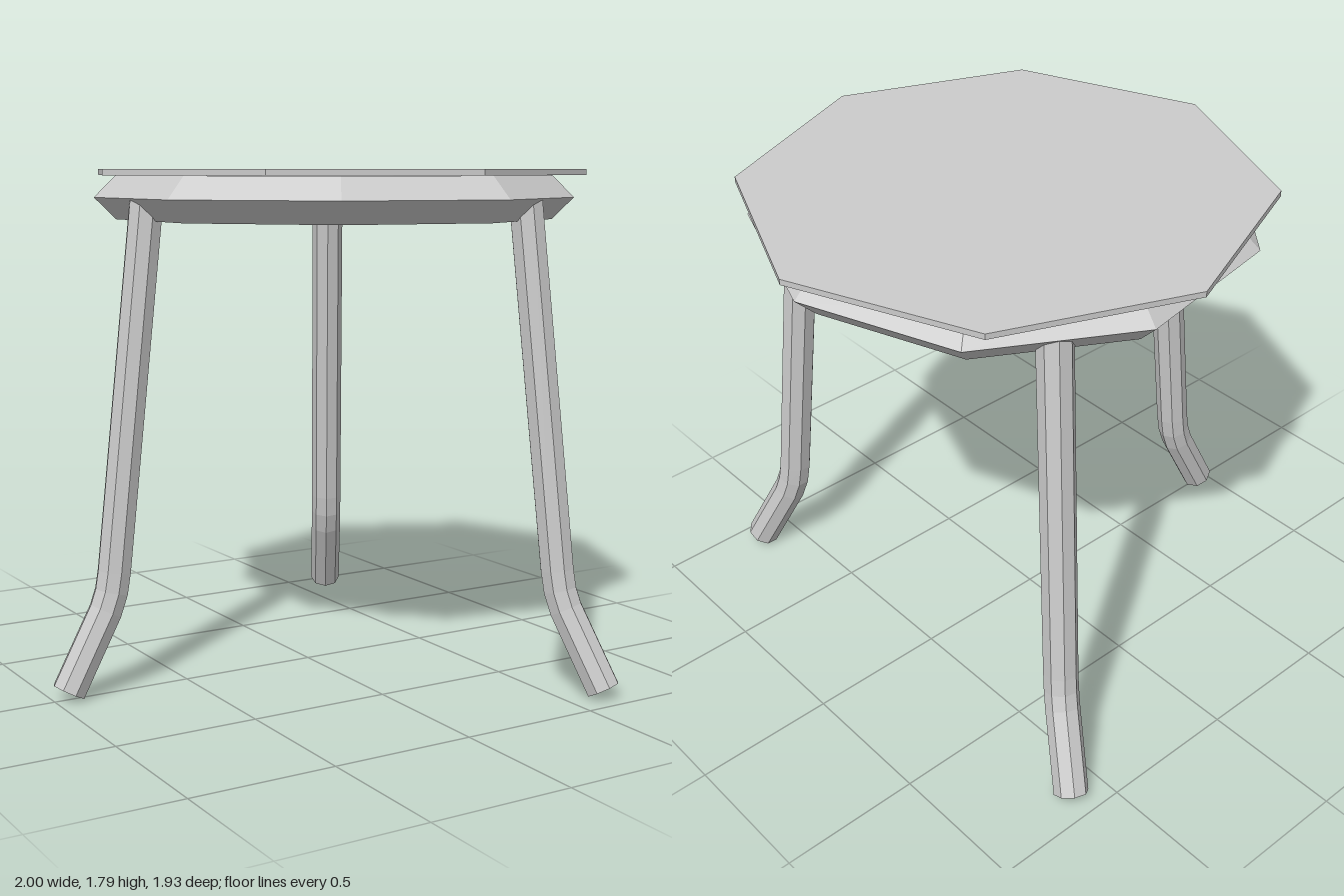
import * as THREE from 'three';

const material = new THREE.MeshStandardMaterial({ color: 0xcccccc, flatShading: true });

// Leg centreline as [distance from stool axis, height], top to foot
const LEG_PATH = [[0.735, 1.69], [0.877, 0.43], [0.889, 0.36], [0.912, 0.295], [1.053, 0.03]]
  .map(([r, y]) => new THREE.Vector2(-r, y));
const LEG_RADIUS = 0.06;

function addMesh(parent, name, geometry) {
  const mesh = new THREE.Mesh(geometry, material);
  mesh.name = name;
  parent.add(mesh);
  return mesh;
}

// Capped eight-sided bar whose rings are set square to the bent centreline
function legGeometry() {
  const rows = LEG_PATH.length - 1;
  const geometry = new THREE.CylinderGeometry(LEG_RADIUS, LEG_RADIUS, 1, 8, rows);
  const pos = geometry.attributes.position;
  for (let i = 0; i < pos.count; i++) {
    const row = Math.round((0.5 - pos.getY(i)) * rows);
    const centre = LEG_PATH[row];
    const up = LEG_PATH[Math.max(row - 1, 0)].clone()
      .sub(LEG_PATH[Math.min(row + 1, rows)]).normalize();
    const x = pos.getX(i);
    pos.setXYZ(i, centre.x + up.y * x, centre.y - up.x * x, pos.getZ(i));
  }
  geometry.computeVertexNormals();
  return geometry;
}

export function createModel() {
  const stool = new THREE.Group();
  stool.name = 'stool';

  // Everything turns around the seat's axis, slightly off the origin
  const body = new THREE.Group();
  body.name = 'stoolBody';
  body.position.x = 0.105;
  stool.add(body);

  // Thin octagonal seat
  addMesh(body, 'seat', new THREE.CylinderGeometry(0.895, 0.895, 0.02, 8)).position.y = 1.779;

  // Nine-sided ring with a diamond section under the seat
  const ring = new THREE.TorusGeometry(0.775, 0.076, 4, 9).rotateX(Math.PI / 2);
  addMesh(body, 'seatRing', ring).position.y = 1.692;

  // Three splayed legs, a third of a turn apart
  const leg = legGeometry();
  ['rightLeg', 'frontLeg', 'backLeg'].forEach((name, i) => {
    addMesh(body, name, leg).rotation.y = i * Math.PI * 2 / 3;
  });

  return stool;
}
